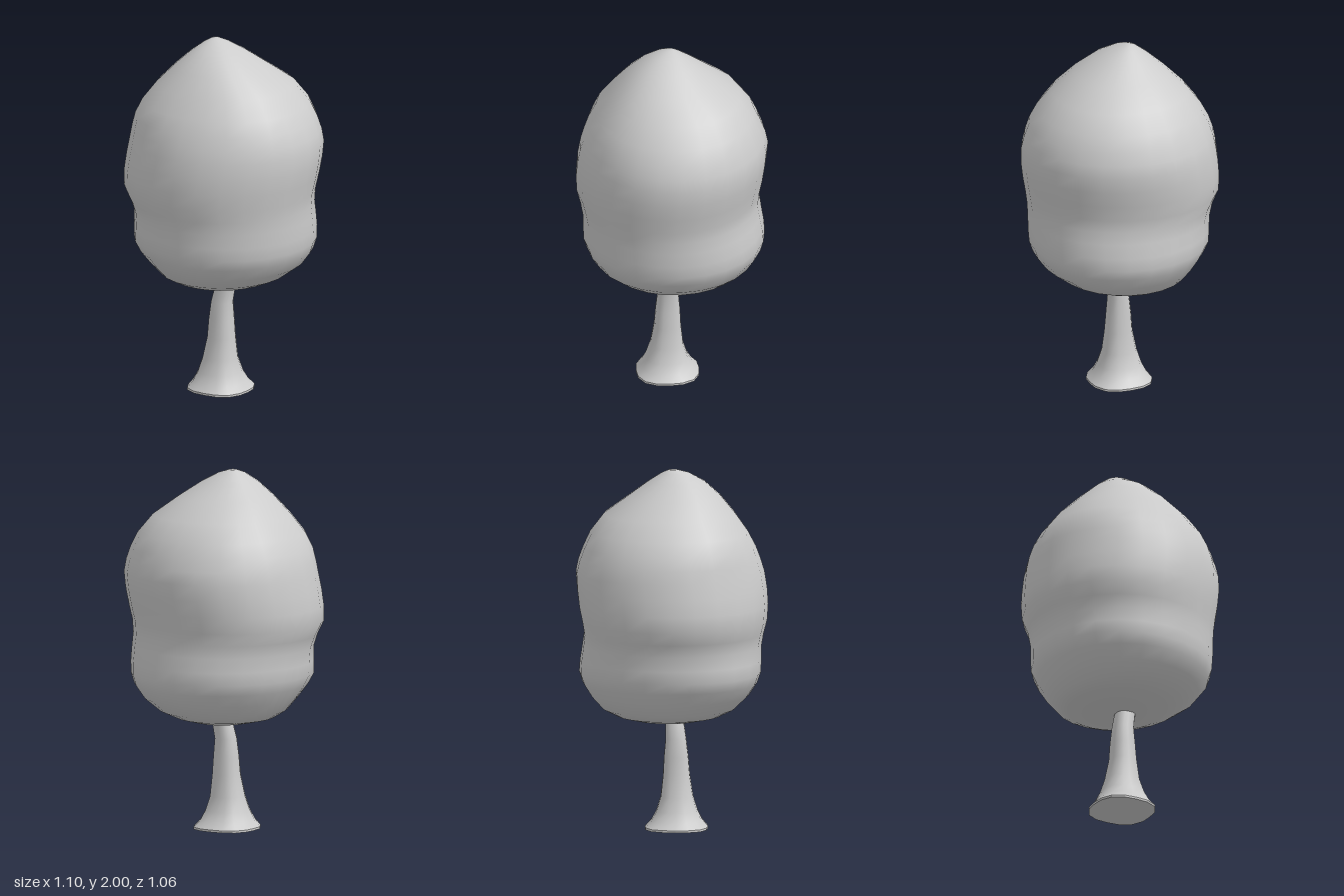
import * as THREE from 'three';

// Skin a stack of closed rings. Each row: [y, xMin, xMax, zMin, zMax]
function loft(rows, sides, swell, closeBottom = true) {
  const pos = [], index = [];
  rows.forEach(([y, x0, x1, z0, z1]) => {
    for (let j = 0; j < sides; j++) {
      const a = (j / sides) * Math.PI * 2;
      const s = swell(a, y);
      pos.push((x0 + x1) / 2 + Math.cos(a) * s * (x1 - x0) / 2, y,
        (z0 + z1) / 2 + Math.sin(a) * s * (z1 - z0) / 2);
    }
  });
  for (let i = 0; i < rows.length - 1; i++) {
    for (let j = 0; j < sides; j++) {
      const k = (j + 1) % sides;
      const a = i * sides + j, b = i * sides + k;
      index.push(a, a + sides, b, b, a + sides, b + sides);
    }
  }
  // close an end with a fan around its centre
  const addCap = (row, up) => {
    const [y, x0, x1, z0, z1] = rows[row];
    const c = pos.length / 3;
    pos.push((x0 + x1) / 2, y, (z0 + z1) / 2);
    for (let j = 0; j < sides; j++) {
      const a = row * sides + j, b = row * sides + (j + 1) % sides;
      if (up) index.push(a, c, b);
      else index.push(c, a, b);
    }
  };
  if (closeBottom) addCap(0, false);
  addCap(rows.length - 1, true);

  const g = new THREE.BufferGeometry();
  g.setAttribute('position', new THREE.Float32BufferAttribute(pos, 3));
  g.setIndex(index);
  g.computeVertexNormals();
  return g;
}

// Smooth bump around one direction, and around one height
const lobe = (a, centre, power) => Math.pow(Math.max(0, Math.cos(a - centre)), power);
const band = (y, centre, width) => Math.exp(-Math.pow((y - centre) / width, 2));

export function createModel() {
  const group = new THREE.Group();
  const material = new THREE.MeshStandardMaterial({ color: 0xcccccc });
  const add = (name, geometry) => {
    const mesh = new THREE.Mesh(geometry, material);
    mesh.name = name;
    group.add(mesh);
  };

  // Leafy crown: lumpy, with a shallow waist and an off-centre peak
  const crownRows = [
    [0.59, -0.05, 0.09, -0.09, 0.05],
    [0.605, -0.18, 0.15, -0.20, 0.15],
    [0.63, -0.29, 0.25, -0.30, 0.26],
    [0.67, -0.355, 0.34, -0.385, 0.345],
    [0.74, -0.41, 0.435, -0.45, 0.42],
    [0.81, -0.455, 0.487, -0.492, 0.465],
    [0.87, -0.483, 0.507, -0.51, 0.485],
    [0.94, -0.487, 0.512, -0.503, 0.488],
    [1.02, -0.493, 0.512, -0.488, 0.49],
    [1.09, -0.515, 0.512, -0.477, 0.503],
    [1.16, -0.55, 0.52, -0.485, 0.522],
    [1.25, -0.55, 0.538, -0.502, 0.528],
    [1.34, -0.54, 0.552, -0.514, 0.522],
    [1.43, -0.525, 0.555, -0.523, 0.507],
    [1.5, -0.51, 0.54, -0.51, 0.485],
    [1.57, -0.485, 0.512, -0.485, 0.458],
    [1.65, -0.44, 0.465, -0.45, 0.415],
    [1.75, -0.365, 0.38, -0.375, 0.345],
    [1.85, -0.265, 0.25, -0.24, 0.265],
    [1.93, -0.175, 0.13, -0.135, 0.18],
    [1.98, -0.11, 0.035, -0.06, 0.095],
    [2.0, -0.075, -0.03, -0.02, 0.03],
  ];
  const crownSwell = (a, y) => {
    const top = THREE.MathUtils.smoothstep(y, 1.45, 1.75);
    return 1
      + 0.055 * lobe(a, Math.PI * 1.33, 6) * band(y, 1.25, 0.35) // full back right
      - 0.02 * lobe(a, Math.PI * 0.27, 6) * band(y, 1.35, 0.35) // flatter front left
      + 0.04 * lobe(a, Math.PI * 0.75, 8) * (band(y, 0.87, 0.1) + band(y, 1.65, 0.15))
      + 0.03 * top * Math.pow(Math.sin(2 * a), 2); // squared shoulders
  };
  add('crown', loft(crownRows, 24, crownSwell));

  // Trunk: squarish, with a flared foot, leaning slightly as it rises
  const foot = [-0.18, 0.168, -0.152, 0.195];
  const trunkRows = [
    [0.012, ...foot],
    [0.05, -0.15, 0.135, -0.117, 0.165],
    [0.1, -0.125, 0.11, -0.09, 0.14],
    [0.18, -0.10, 0.085, -0.065, 0.115],
    [0.3, -0.075, 0.072, -0.052, 0.096],
    [0.4, -0.068, 0.065, -0.047, 0.088],
    [0.5, -0.057, 0.058, -0.038, 0.076],
    [0.58, -0.04, 0.07, -0.04, 0.064],
    [0.65, -0.02, 0.085, -0.045, 0.055],
  ];
  const trunkSwell = (a) => 1 + 0.09 * Math.pow(Math.sin(2 * a), 2);
  add('trunk', loft(trunkRows, 16, trunkSwell, false));

  // Flat underside of the trunk, with hard edges
  const base = loft([[0, ...foot], [0.012, ...foot]], 16, trunkSwell).toNonIndexed();
  base.computeVertexNormals();
  add('trunkFoot', base);

  return group;
}
